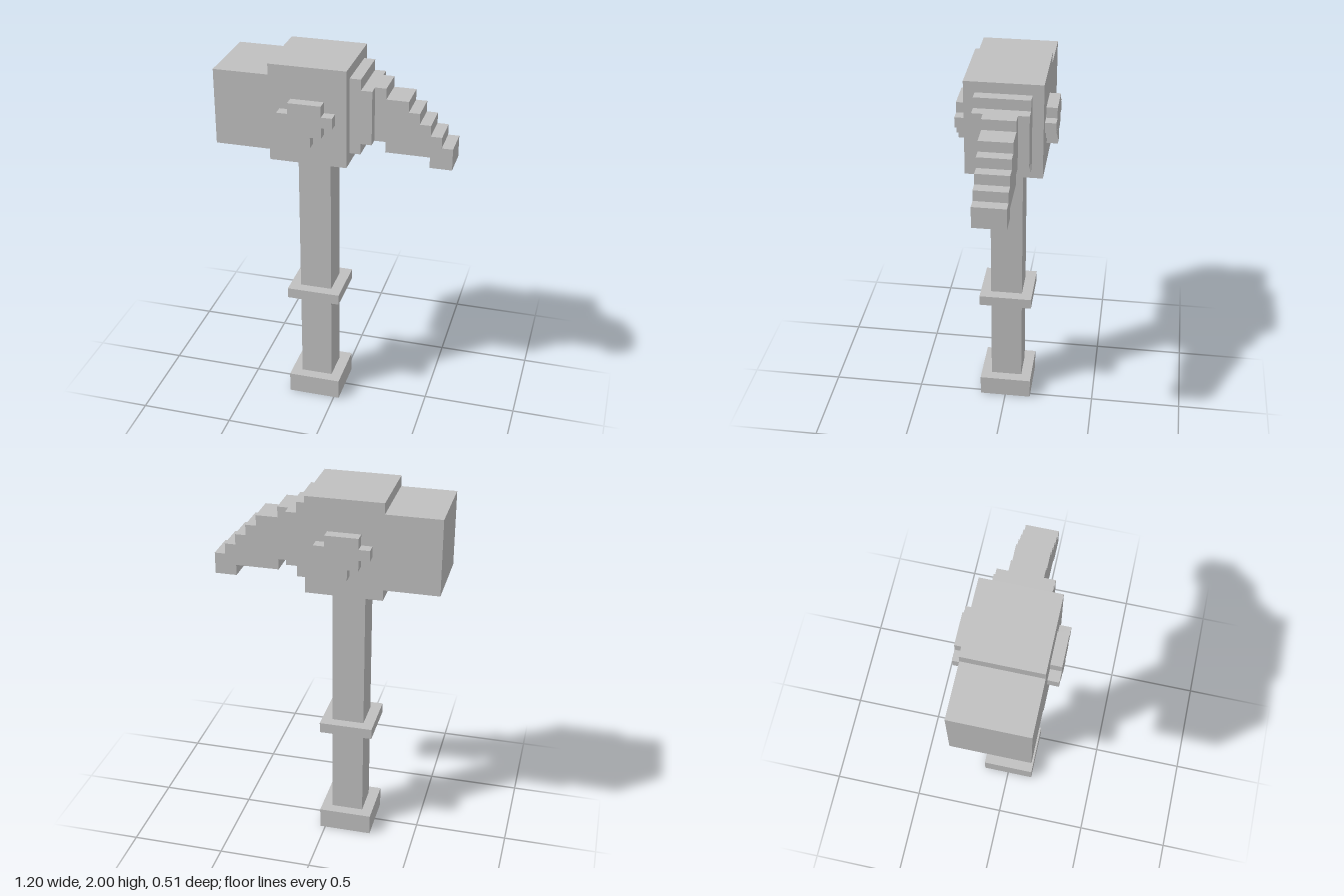
import * as THREE from 'three';

// One block of the grid; the whole model is 35 blocks tall
const U = 2 / 35;

export function createModel() {
  const model = new THREE.Group();
  model.name = 'warHammer';

  const grey = new THREE.MeshStandardMaterial({ color: 0xbfbfbf });
  grey.name = 'grey';

  const add = (name, geometry) => {
    const mesh = new THREE.Mesh(geometry, grey);
    mesh.name = name;
    model.add(mesh);
    return mesh;
  };

  // Box from its x and y range, centred on z, in blocks
  const box = (name, x0, x1, y0, y1, halfZ) => {
    const mesh = add(name, new THREE.BoxGeometry((x1 - x0) * U, (y1 - y0) * U, 2 * halfZ * U));
    mesh.position.set((x0 + x1) / 2 * U, (y0 + y1) / 2 * U, 0);
  };

  // Stepped plate extruded along z from an outline, in blocks
  const plate = (name, points, z0, z1) => {
    const shape = new THREE.Shape(points.map(([x, y]) => new THREE.Vector2(x * U, y * U)));
    const geometry = new THREE.ExtrudeGeometry(shape, { depth: (z1 - z0) * U, bevelEnabled: false });
    add(name, geometry.translate(0, 0, z0 * U));
  };

  // Handle, centred on x = -2
  box('pommel', -4.5, 0.5, 0, 2, 2.5);
  box('handle', -3.5, -0.5, 2, 26, 1.5);
  box('handleRing', -4.5, 0.5, 11, 12, 2.5);

  // Head
  box('hammerFace', -10.5, -5.5, 27, 34, 3.5);
  box('headBlock', -5.5, 1.5, 26, 35, 3.5);
  box('collarOuter', 1.5, 2.5, 27, 34, 2.5);
  box('collarInner', 2.5, 3.5, 28, 33, 2.5);

  // Stepped spike, drooping to its tip
  plate('spike', [
    [3.5, 28], [4.5, 28], [4.5, 27], [8.5, 27], [8.5, 26], [10.5, 26],
    [10.5, 28], [9.5, 28], [9.5, 29], [8.5, 29], [8.5, 30], [7.5, 30],
    [7.5, 31], [6.5, 31], [6.5, 32], [4.5, 32], [4.5, 33], [3.5, 33],
  ], -1.5, 1.5);

  // Raised ornament on both sides of the head
  const ornament = [
    [-2.5, 28], [-1.5, 28], [-1.5, 29], [-0.5, 29], [-0.5, 30], [0.5, 30], [0.5, 31], [-0.5, 31],
    [-0.5, 32], [-3.5, 32], [-3.5, 31], [-4.5, 31], [-4.5, 30], [-3.5, 30], [-3.5, 29], [-2.5, 29],
  ];
  plate('frontOrnament', ornament, 3.5, 4.5);
  plate('backOrnament', ornament, -4.5, -3.5);

  return model;
}
